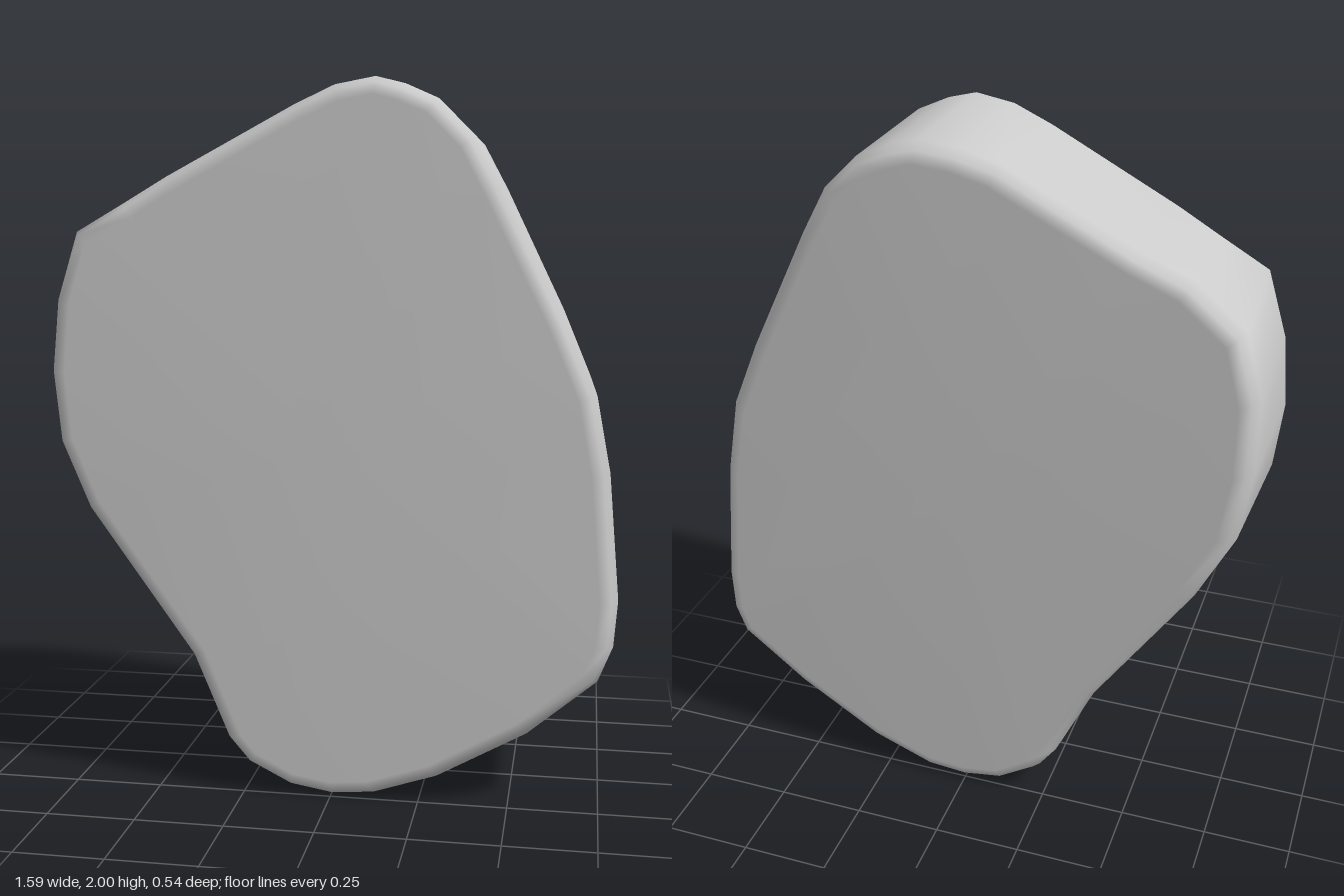
import * as THREE from 'three';

// Rim of the front and back faces, clockwise from the top as seen from +z
const FRONT = [
  [0.12, 2], [0.2, 1.98], [0.29, 1.94], [0.39, 1.84], [0.46, 1.71], [0.64, 1.35], [0.72, 1.16],
  [0.76, 0.95], [0.79, 0.6], [0.78, 0.47], [0.74, 0.37], [0.55, 0.21], [0.3, 0.07], [0.12, 0.01],
  [0, 0], [-0.12, 0.02], [-0.24, 0.08], [-0.3, 0.15], [-0.4, 0.39], [-0.7, 0.81], [-0.78, 1],
  [-0.8, 1.2], [-0.78, 1.4], [-0.72, 1.59], [-0.58, 1.67], [-0.46, 1.74], [-0.1, 1.93], [0.01, 1.98],
];
const BACK = [
  [0.12, 1.99], [0.2, 1.97], [0.29, 1.93], [0.38, 1.84], [0.45, 1.71], [0.62, 1.36], [0.7, 1.17],
  [0.74, 0.95], [0.77, 0.6], [0.765, 0.47], [0.73, 0.38], [0.54, 0.23], [0.3, 0.08], [0.12, 0.01],
  [0, 0], [-0.12, 0.02], [-0.23, 0.09], [-0.28, 0.16], [-0.39, 0.4], [-0.66, 0.8], [-0.76, 1],
  [-0.79, 1.2], [-0.79, 1.41], [-0.74, 1.59], [-0.6, 1.71], [-0.46, 1.77], [-0.1, 1.95], [0.01, 1.98],
];

// Moves every point of a clockwise outline inwards by d
function inset(outline, d) {
  const n = outline.length;
  return outline.map(([x, y], i) => {
    const [px, py] = outline[(i + n - 1) % n];
    const [qx, qy] = outline[(i + 1) % n];
    const len = Math.hypot(qx - px, qy - py);
    return [x + (d * (qy - py)) / len, y - (d * (qx - px)) / len];
  });
}

export function createModel() {
  // Cross-sections from back to front: [outline, inset, z]
  const rings = [
    [BACK, 0.05, -0.27], [BACK, 0.018, -0.255], [BACK, 0, -0.22],
    [FRONT, 0, 0.22], [FRONT, 0.018, 0.255], [FRONT, 0.05, 0.27],
  ];
  const n = FRONT.length;
  const pos = [];
  const index = [];
  for (const [outline, d, z] of rings) {
    for (const [x, y] of inset(outline, d)) pos.push(x, y, z);
  }
  const backCentre = rings.length * n;
  const frontCentre = backCentre + 1;
  pos.push(0, 1, -0.27, 0, 1, 0.27);

  const last = (rings.length - 1) * n;
  for (let i = 0; i < n; i++) {
    const j = (i + 1) % n;
    // Side wall and rounded rims
    for (let r = 0; r < last; r += n) {
      index.push(r + i, r + n + i, r + n + j, r + i, r + n + j, r + j);
    }
    // Broad faces
    index.push(backCentre, i, j, frontCentre, last + j, last + i);
  }

  const geometry = new THREE.BufferGeometry();
  geometry.setAttribute('position', new THREE.Float32BufferAttribute(pos, 3));
  geometry.setIndex(index);
  geometry.computeVertexNormals();

  const stone = new THREE.Mesh(geometry, new THREE.MeshStandardMaterial({ color: 0xcccccc }));
  stone.name = 'stone';
  const group = new THREE.Group();
  group.name = 'flatStone';
  group.add(stone);
  return group;
}
